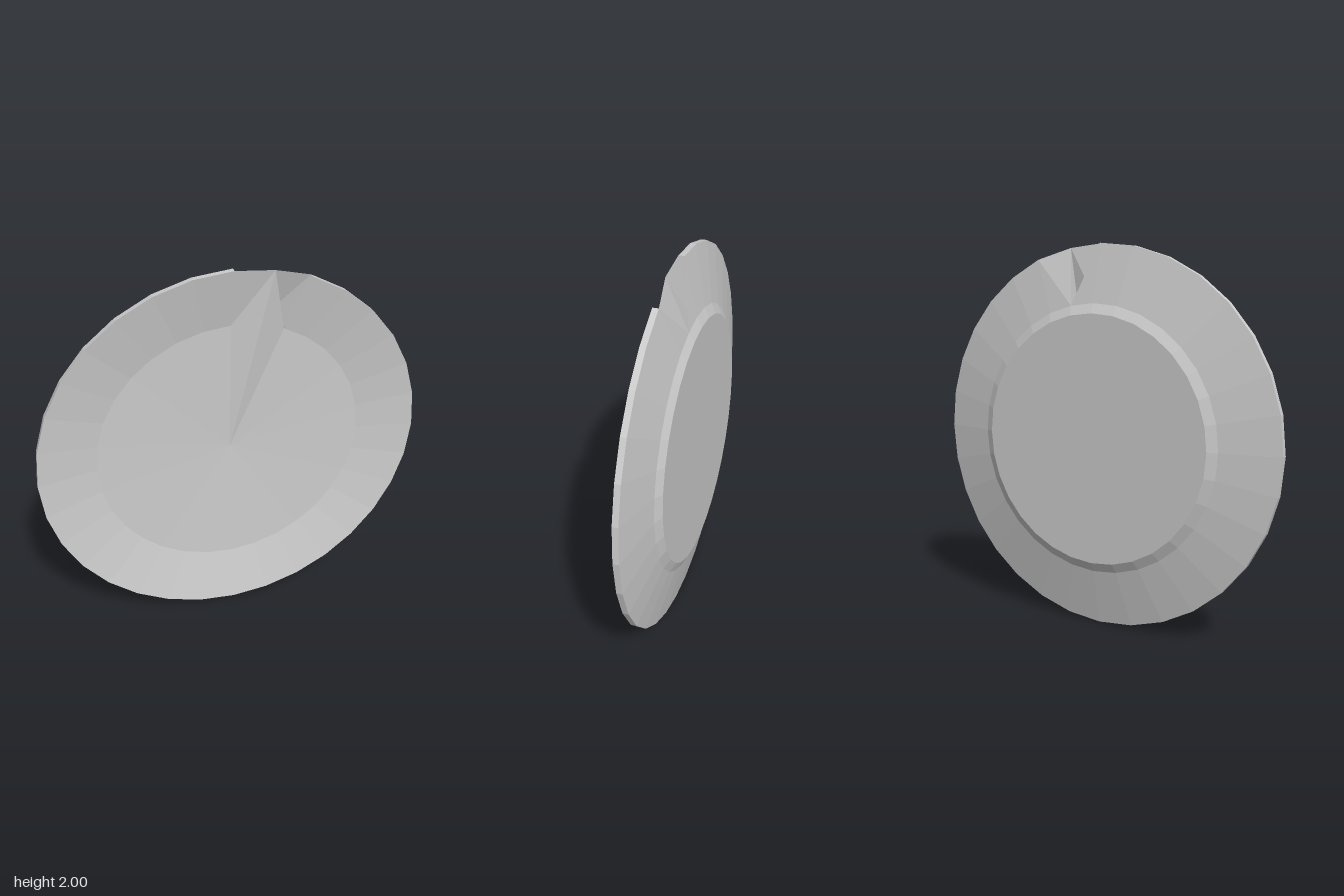
import * as THREE from 'three';

const SIDES = 32;
const material = new THREE.MeshStandardMaterial({ color: 0xcccccc, flatShading: true, side: THREE.DoubleSide });

// Point on a ring around the plate's axis, counted clockwise from the top
function at(i, [r, z]) {
  const a = (i / SIDES) * Math.PI * 2;
  return [r * Math.sin(a), 1 + r * Math.cos(a), z];
}

function meshFrom(name, triangles) {
  const geometry = new THREE.BufferGeometry();
  geometry.setAttribute('position', new THREE.Float32BufferAttribute(triangles.flat(2), 3));
  geometry.computeVertexNormals();
  const mesh = new THREE.Mesh(geometry, material);
  mesh.name = name;
  return mesh;
}

// Band of quads between two rings, leaving out the sectors before `start`
function band(a, b, start = 0) {
  const tris = [];
  for (let i = start; i < SIDES; i++) {
    const a0 = at(i, a), a1 = at(i + 1, a), b0 = at(i, b), b1 = at(i + 1, b);
    tris.push([a0, a1, b1], [a0, b1, b0]);
  }
  return tris;
}

// Fan from the centre to a ring
function fan(z, ring, facing, start = 0) {
  const tris = [];
  for (let i = start; i < SIDES; i++) {
    const p = at(i, ring), q = at(i + 1, ring);
    tris.push(facing > 0 ? [[0, 1, z], q, p] : [[0, 1, z], p, q]);
  }
  return tris;
}

export function createModel() {
  // Ring sections: [radius, z]
  const well = [0.7, -0.005], rimFront = [1, 0.055], rimBack = [1, 0.025];
  const shoulder = [0.7, -0.035], foot = [0.65, -0.06];
  const centre = [0, 1, -0.025];
  const chip = at(1, rimFront);

  const group = new THREE.Group();
  group.name = 'chippedPlate';

  // Shallow well, pulled out to the rim at the chip
  group.add(meshFrom('well', [
    ...fan(centre[2], well, 1, 2),
    [centre, chip, at(0, well)],
    [centre, at(2, well), chip],
  ]));

  // Sloping front rim, open beside the chip
  group.add(meshFrom('frontRim', [
    ...band(well, rimFront, 2),
    [at(0, well), chip, at(0, rimFront)],
  ]));

  // Thin outer edge, missing at the chip
  group.add(meshFrom('outerEdge', band(rimFront, rimBack, 2)));

  // Back of the rim, with a notch on one side of the chip
  group.add(meshFrom('backRim', [
    ...band(rimBack, shoulder, 2),
    [at(0, rimBack), at(1, shoulder), at(0, shoulder)],
    [chip, at(2, rimBack), at(1, shoulder)],
    [at(1, shoulder), at(2, rimBack), at(2, shoulder)],
  ]));

  // Foot: bevel and flat base
  group.add(meshFrom('footBevel', band(shoulder, foot)));
  group.add(meshFrom('base', fan(foot[1], foot, -1)));

  return group;
}
